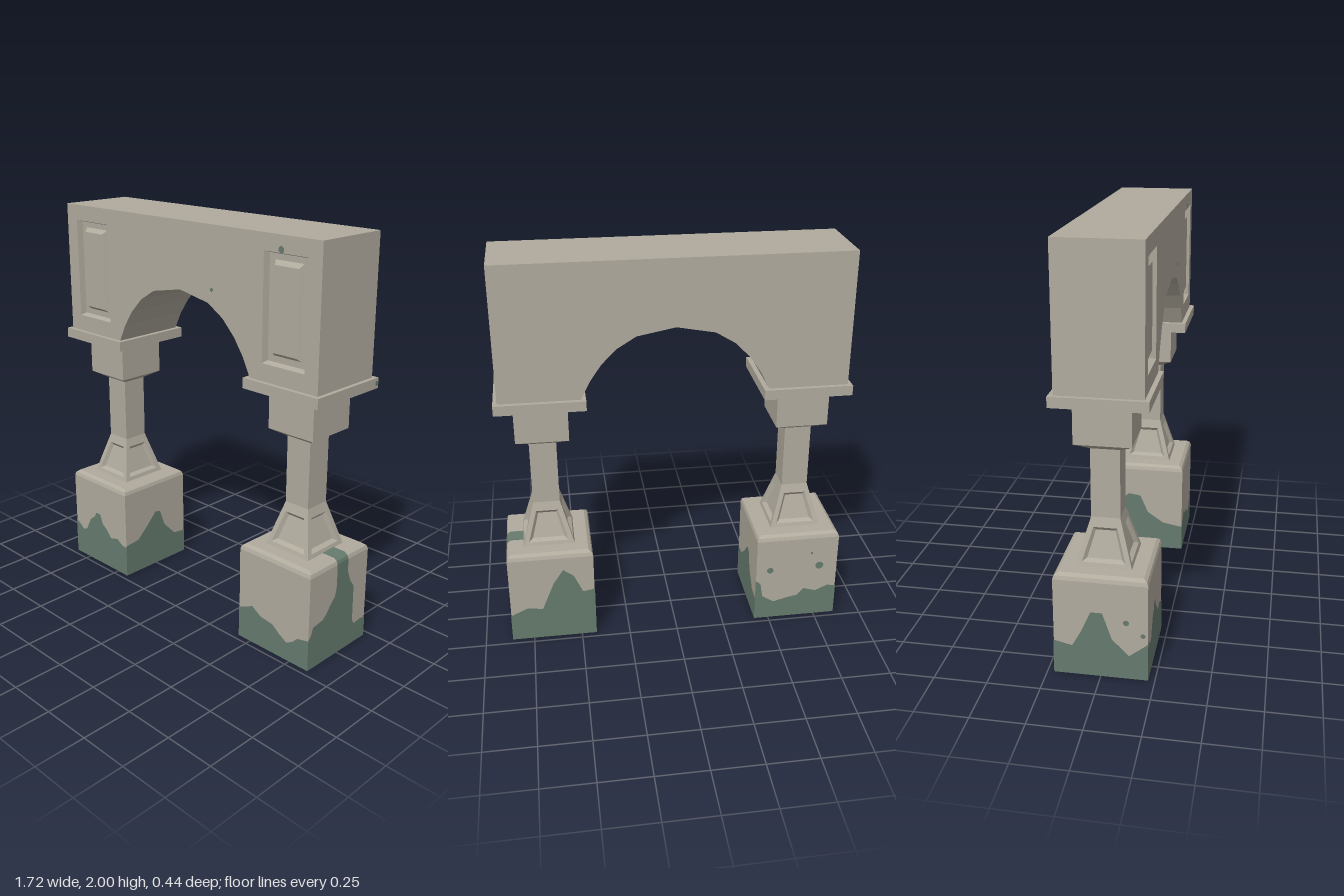
import * as THREE from 'three';

const COLUMN_X = 0.643, BASE = 0.217, DEPTH = 0.195;

// Faceted surface through equal-length rings; quad rings may be capped.
function loft(rings, capStart = false, capEnd = false) {
  const out = [];
  const tri = (a, b, c) => out.push(...a, ...b, ...c);
  for (let r = 0; r + 1 < rings.length; r++) {
    const a = rings[r], b = rings[r + 1];
    for (let i = 0; i < a.length; i++) {
      const j = (i + 1) % a.length;
      tri(a[i], a[j], b[j]);
      tri(a[i], b[j], b[i]);
    }
  }
  if (capStart) { const s = rings[0]; tri(s[0], s[2], s[1]); tri(s[0], s[3], s[2]); }
  if (capEnd) { const e = rings[rings.length - 1]; tri(e[0], e[1], e[2]); tri(e[0], e[2], e[3]); }
  const g = new THREE.BufferGeometry();
  g.setAttribute('position', new THREE.Float32BufferAttribute(out, 3));
  g.computeVertexNormals();
  return g;
}

// Stack of square sections given as [half width, height]
const squareStack = (profile) => loft(
  profile.map(([h, y]) => [[h, y, h], [h, y, -h], [-h, y, -h], [-h, y, h]]), true, true);

const rect = (cx, hw, y0, y1, z) =>
  [[cx - hw, y0, z], [cx + hw, y0, z], [cx + hw, y1, z], [cx - hw, y1, z]];

const toShape = (pts) => new THREE.Shape(pts.map(([x, y]) => new THREE.Vector2(x, y)));

export function createModel() {
  const stone = new THREE.MeshStandardMaterial({ color: 0xb1ab9e });
  stone.name = 'stone';
  const moss = new THREE.MeshStandardMaterial({ color: 0x667b6e });
  moss.name = 'moss';

  const model = new THREE.Group();
  model.name = 'archway';
  const add = (parent, name, geometry, material = stone) => {
    const mesh = new THREE.Mesh(geometry, material);
    mesh.name = name;
    parent.add(mesh);
    return mesh;
  };

  // Arch block: outline, sides, plain back and front with panel openings
  const half = [[0.45, 1.34], [0.405, 1.43], [0.35, 1.51], [0.278, 1.583], [0.185, 1.64]];
  const outline = [[-0.84, 1.34], ...half.map(([x, y]) => [-x, y]), [0, 1.675],
    ...half.slice().reverse(), [0.84, 1.34], [0.84, 2], [-0.84, 2]];
  const arch = new THREE.Group();
  arch.name = 'arch';
  model.add(arch);
  add(arch, 'archSides', loft([-DEPTH, DEPTH].map((z) => outline.map(([x, y]) => [x, y, z]))));
  const back = add(arch, 'archBack', new THREE.ShapeGeometry(toShape(outline)));
  back.position.z = -DEPTH;
  back.rotation.y = Math.PI;
  const frontShape = toShape(outline);
  for (const s of [-1, 1]) {
    const cx = s * COLUMN_X;
    frontShape.holes.push(new THREE.Path(
      rect(cx, 0.122, 1.423, 1.922, 0).map(([x, y]) => new THREE.Vector2(x, y))));
    // Recess with a raised bevelled panel
    add(arch, 'archPanel', loft([
      rect(cx, 0.122, 1.423, 1.922, DEPTH),
      rect(cx, 0.113, 1.432, 1.913, DEPTH - 0.03),
      rect(cx, 0.08, 1.462, 1.886, DEPTH - 0.03),
      rect(cx, 0.066, 1.478, 1.866, DEPTH - 0.01),
    ], false, true));
  }
  add(arch, 'archFront', new THREE.ShapeGeometry(frontShape)).position.z = DEPTH;

  // Sloped foot side with a sunken trapezoid
  const slope = (x0, y0, x1, y1, sink) => {
    const p = (x, y) => [x, y, 0.13 - (y - 0.51) / 0.22 * 0.063 - sink];
    return [p(-x0, y0), p(x0, y0), p(x1, y1), p(-x1, y1)];
  };
  const footSide = loft([
    slope(0.13, 0.51, 0.067, 0.73, 0),
    slope(0.1, 0.53, 0.055, 0.685, 0),
    slope(0.08, 0.542, 0.045, 0.668, 0.018),
  ], false, true);

  // Moss height along each plinth side [u from 0 to 1, height]: front, +x, back, -x
  const growth = {
    left: [
      [[0, 0.2], [0.07, 0.185], [0.14, 0.16], [0.21, 0.17], [0.3, 0.245], [0.38, 0.27], [0.42, 0.3],
        [0.5, 0.3], [0.54, 0.25], [0.62, 0.225], [0.7, 0.185], [0.83, 0.2], [0.92, 0.175], [1, 0.17]],
      [[0, 0.18], [0.2, 0.19], [0.35, 0.25], [0.5, 0.32], [0.58, 0.31], [0.65, 0.22], [0.82, 0.14], [1, 0.13]],
      [[0, 0.24], [0.06, 0.22], [0.09, 0.14], [0.23, 0.1], [0.4, 0.12], [0.52, 0.13], [0.6, 0.17],
        [0.75, 0.15], [0.9, 0.18], [1, 0.17]],
      [[0, 0.17], [0.2, 0.15], [0.3, 0.23], [0.4, 0.33], [0.52, 0.33], [0.62, 0.2], [0.8, 0.12], [1, 0.19]],
    ],
    right: [
      [[0, 0.16], [0.1, 0.18], [0.2, 0.2], [0.33, 0.165], [0.5, 0.155], [0.6, 0.12], [0.7, 0.095],
        [0.78, 0.115], [0.85, 0.145], [1, 0.16]],
      [[0, 0.165], [0.04, 0.18], [0.07, 0.22], [0.23, 0.23], [0.29, 0.25], [0.36, 0.29], [0.43, 0.32],
        [0.455, 0.37], [0.45, 0.485], [0.64, 0.485], [0.64, 0.42], [0.69, 0.36], [0.76, 0.32],
        [0.765, 0.13], [0.8, 0.105], [0.92, 0.11], [1, 0.105]],
      [[0, 0.15], [0.2, 0.19], [0.38, 0.18], [0.52, 0.33], [0.64, 0.41], [0.76, 0.37], [0.86, 0.27], [1, 0.28]],
      [[0, 0.28], [0.13, 0.27], [0.3, 0.33], [0.45, 0.32], [0.55, 0.22], [0.75, 0.16], [1, 0.14]],
    ],
  };

  for (const side of ['left', 'right']) {
    const column = new THREE.Group();
    column.name = 'column';
    column.position.x = side === 'left' ? -COLUMN_X : COLUMN_X;
    model.add(column);
    add(column, 'plinth', squareStack([[BASE, 0], [BASE, 0.48], [0.211, 0.498], [0.195, 0.51]]));
    add(column, 'shaft', squareStack([[0.067, 0.73], [0.067, 1.06]]));
    add(column, 'capital', squareStack([[0.067, 1.06], [0.13, 1.097], [0.13, 1.29]]));
    add(column, 'capPlate', squareStack([[BASE, 1.29], [BASE, 1.34]]));
    for (let i = 0; i < 4; i++) {
      add(column, 'footSide', footSide).rotation.y = i * Math.PI / 2;
      const w = BASE + 0.002;
      const edge = growth[side][i].map(([u, y]) => [(u * 2 - 1) * w, y]);
      const patch = new THREE.ShapeGeometry(toShape([[-w, 0], [w, 0], ...edge.reverse()]));
      patch.translate(0, 0, w);
      add(column, 'mossPatch', patch, moss).rotation.y = i * Math.PI / 2;
    }
  }

  // Moss streak folding over the rounded edge of one plinth
  const fold = new THREE.ExtrudeGeometry(toShape([[0.21, 0.47], [0.219, 0.47], [0.219, 0.482], [0.213, 0.5],
    [0.196, 0.513], [0.12, 0.513], [0.12, 0.506], [0.19, 0.5]]), { depth: 0.08, bevelEnabled: false });
  fold.translate(COLUMN_X, 0, -0.06);
  add(model, 'mossFold', fold, moss);

  // Small moss spots: [x, y, z, radius, turn]
  const spots = [
    [0.62, 1.937, DEPTH + 0.002, 0.016, 0],
    [0.21, 1.705, DEPTH + 0.002, 0.01, 0],
    [-0.5, 0.3, -0.219, 0.018, Math.PI],
    [-0.765, 0.31, -0.219, 0.022, Math.PI],
    [-0.72, 0.39, -0.219, 0.007, Math.PI],
    [-0.862, 0.29, 0.118, 0.014, -Math.PI / 2],
    [-0.862, 0.23, 0.195, 0.012, -Math.PI / 2],
    [0.862, 1.315, -0.205, 0.012, Math.PI / 2],
  ];
  for (const [x, y, z, r, turn] of spots) {
    const spot = add(model, 'mossSpot', new THREE.CircleGeometry(r, 9), moss);
    spot.position.set(x, y, z);
    spot.rotation.y = turn;
  }
  return model;
}
